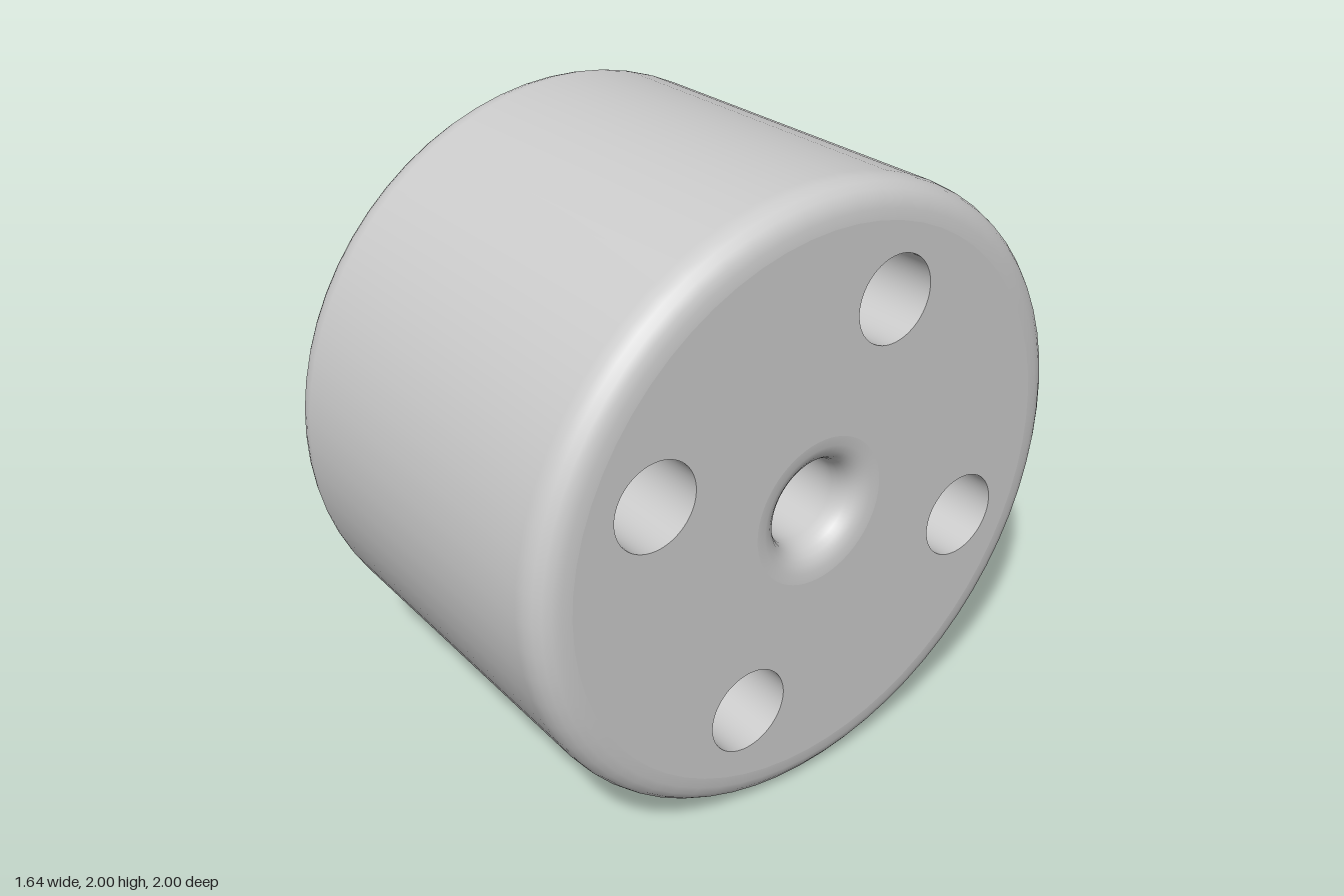
import * as THREE from 'three';

const SEG = 64;                 // sides around the body and around each hole grid
const HOLE_R = 0.14;
const CONE = { r0: 0.15, r1: 0.88, x0: -0.82, slope: 0.26 / 0.73, side: -1 };
const FLAT = { r0: 0.24, r1: 0.89, x0: 0.82, slope: 0, side: 1 };
const faceX = (face, r) => face.x0 + face.slope * (r - face.r0);

// Hole rim on an end face, as [radius, angle]; the hole leans with the body taper
function rimPoint(face, k) {
  const a = (k / SEG) * Math.PI * 2;
  let x = face.x0, r, t;
  for (let i = 0; i < 6; i++) {
    const radial = 0.64 + 0.024 * x + HOLE_R * Math.cos(a);
    const tangent = HOLE_R * Math.sin(a);
    r = Math.hypot(radial, tangent);
    t = Math.atan2(tangent, radial);
    x = faceX(face, r);
  }
  return [r, t];
}

// Border of the quarter sector around a hole, as [radius, angle]
function borderPoint(face, k) {
  const s = ((k + SEG / 8) % SEG) / (SEG / 4);
  const i = Math.floor(s), f = 2 * (s - i) - 1;
  const [u, v] = [[1, f], [-f, 1], [-1, -f], [f, -1]][i];
  return [(face.r0 + face.r1) / 2 + (u * (face.r1 - face.r0)) / 2, (v * Math.PI) / 4];
}

const onFace = (face, [r, t]) => [faceX(face, r), r * Math.cos(t), r * Math.sin(t)];

// Closed-loop grid: each row is a ring of SEG points
function gridGeometry(rows, flip) {
  const index = [];
  for (let j = 0; j < rows.length - 1; j++) {
    for (let k = 0; k < SEG; k++) {
      const n = (k + 1) % SEG;
      const a = j * SEG + k, b = a + SEG, c = (j + 1) * SEG + n, d = j * SEG + n;
      index.push(...(flip ? [a, c, b, a, d, c] : [a, b, c, a, c, d]));
    }
  }
  const geo = new THREE.BufferGeometry();
  geo.setAttribute('position', new THREE.Float32BufferAttribute(rows.flat(2), 3));
  geo.setIndex(index);
  geo.computeVertexNormals();
  return geo;
}

// Quarter of an end face with one round hole in it
function sectorGeometry(face) {
  const rings = 8, rows = [], normals = [];
  for (let j = 0; j <= rings; j++) {
    const row = [];
    for (let k = 0; k < SEG; k++) {
      const rim = rimPoint(face, k), border = borderPoint(face, k);
      const p = rim.map((v, i) => THREE.MathUtils.lerp(v, border[i], j / rings));
      row.push(onFace(face, p));
      const n = new THREE.Vector3(1, -face.slope * Math.cos(p[1]), -face.slope * Math.sin(p[1]));
      normals.push(...n.normalize().multiplyScalar(face.side).toArray());
    }
    rows.push(row);
  }
  const geo = gridGeometry(rows, face.side < 0);
  geo.setAttribute('normal', new THREE.Float32BufferAttribute(normals, 3));
  return geo;
}

// Wall of one through hole, facing inward
function holeGeometry() {
  const rows = [CONE, FLAT].map((face) =>
    Array.from({ length: SEG }, (_, k) => onFace(face, rimPoint(face, k))));
  return gridGeometry(rows, false);
}

// Rounded profile corner; points are [radius, x]
const fillet = (a, b, c) => new THREE.QuadraticBezierCurve(
  new THREE.Vector2(...a), new THREE.Vector2(...b), new THREE.Vector2(...c)).getPoints(6);

const latheX = (points) => new THREE.LatheGeometry(points, SEG).rotateZ(-Math.PI / 2);

export function createModel() {
  const group = new THREE.Group();
  group.name = 'drilledPlug';
  const material = new THREE.MeshStandardMaterial({ color: 0xcccccc });
  const add = (name, geo, angle = 0) => {
    const mesh = new THREE.Mesh(geo, material);
    mesh.name = name;
    mesh.rotation.x = angle;
    mesh.position.y = 1;
    group.add(mesh);
  };

  // Slightly tapered outer wall with rounded rims
  add('outerWall', latheX([
    ...fillet([CONE.r1, faceX(CONE, CONE.r1)], [0.973, -0.527], [0.975, -0.44]),
    ...fillet([1, 0.71], [1, 0.82], [FLAT.r1, FLAT.x0]),
  ]));

  // Centre bore, flared at the flat end
  add('centreBore', latheX([
    ...fillet([FLAT.r0, FLAT.x0], [0.14, 0.82], [0.14, 0.72]),
    new THREE.Vector2(0.14, -0.7),
    new THREE.Vector2(CONE.r0, CONE.x0),
  ]));

  // Four drilled quarters: cone, flat end and hole wall
  const cone = sectorGeometry(CONE), flat = sectorGeometry(FLAT), hole = holeGeometry();
  for (let i = 0; i < 4; i++) {
    const angle = (i * Math.PI) / 2 - Math.PI / 8;
    add('coneFace' + (i + 1), cone, angle);
    add('flatFace' + (i + 1), flat, angle);
    add('sideHole' + (i + 1), hole, angle);
  }
  return group;
}
